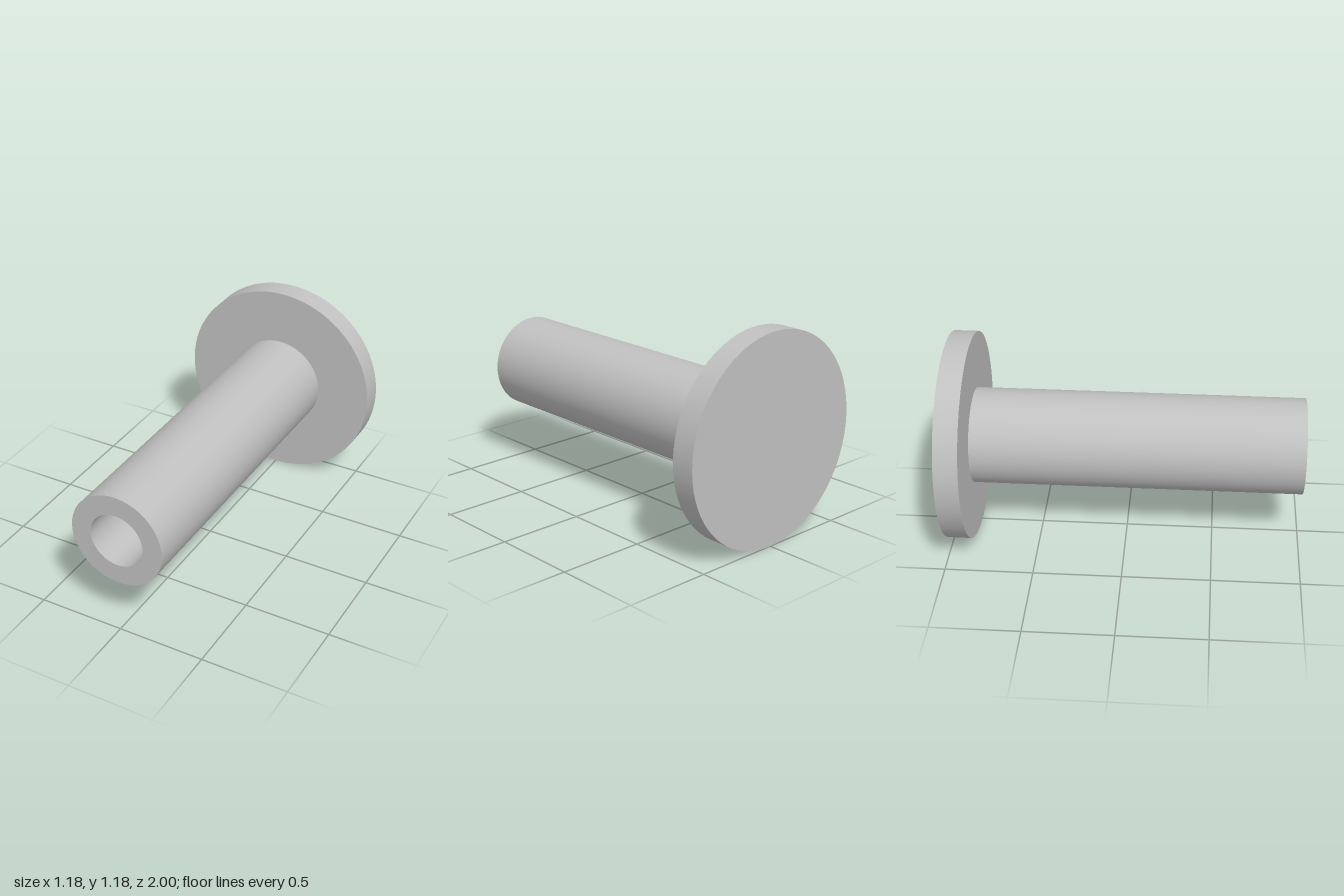
import * as THREE from 'three';
import { toCreasedNormals } from 'three/addons/utils/BufferGeometryUtils.js';

const FLANGE_RADIUS = 0.592;
const TUBE_RADIUS = 0.272;
const BORE_RADIUS = 0.157;
const FLANGE_FRONT = -0.865;
const SEGMENTS = 96;

export function createModel() {
  const grey = new THREE.MeshStandardMaterial({ color: 0xc0c0c0 });
  grey.name = 'grey metal';

  const model = new THREE.Group();
  model.name = 'flangedSleeve';

  // Revolve a (radius, z) profile around the z axis, keeping its corners sharp
  function addRevolved(name, profile) {
    const points = profile.map(([r, z]) => new THREE.Vector2(r, z));
    const lathe = new THREE.LatheGeometry(points, SEGMENTS).rotateX(Math.PI / 2);
    const mesh = new THREE.Mesh(toCreasedNormals(lathe, Math.PI / 6), grey);
    mesh.name = name;
    mesh.position.y = FLANGE_RADIUS;
    model.add(mesh);
  }

  // Solid round flange at the back; its front face also closes the bore
  addRevolved('flange', [
    [0, -1],
    [FLANGE_RADIUS, -1],
    [FLANGE_RADIUS, FLANGE_FRONT],
    [0, FLANGE_FRONT],
  ]);

  // Hollow tube: outer wall, front rim, then the bore wall
  addRevolved('tube', [
    [TUBE_RADIUS, FLANGE_FRONT],
    [TUBE_RADIUS, 1],
    [BORE_RADIUS, 1],
    [BORE_RADIUS, FLANGE_FRONT],
  ]);

  return model;
}
